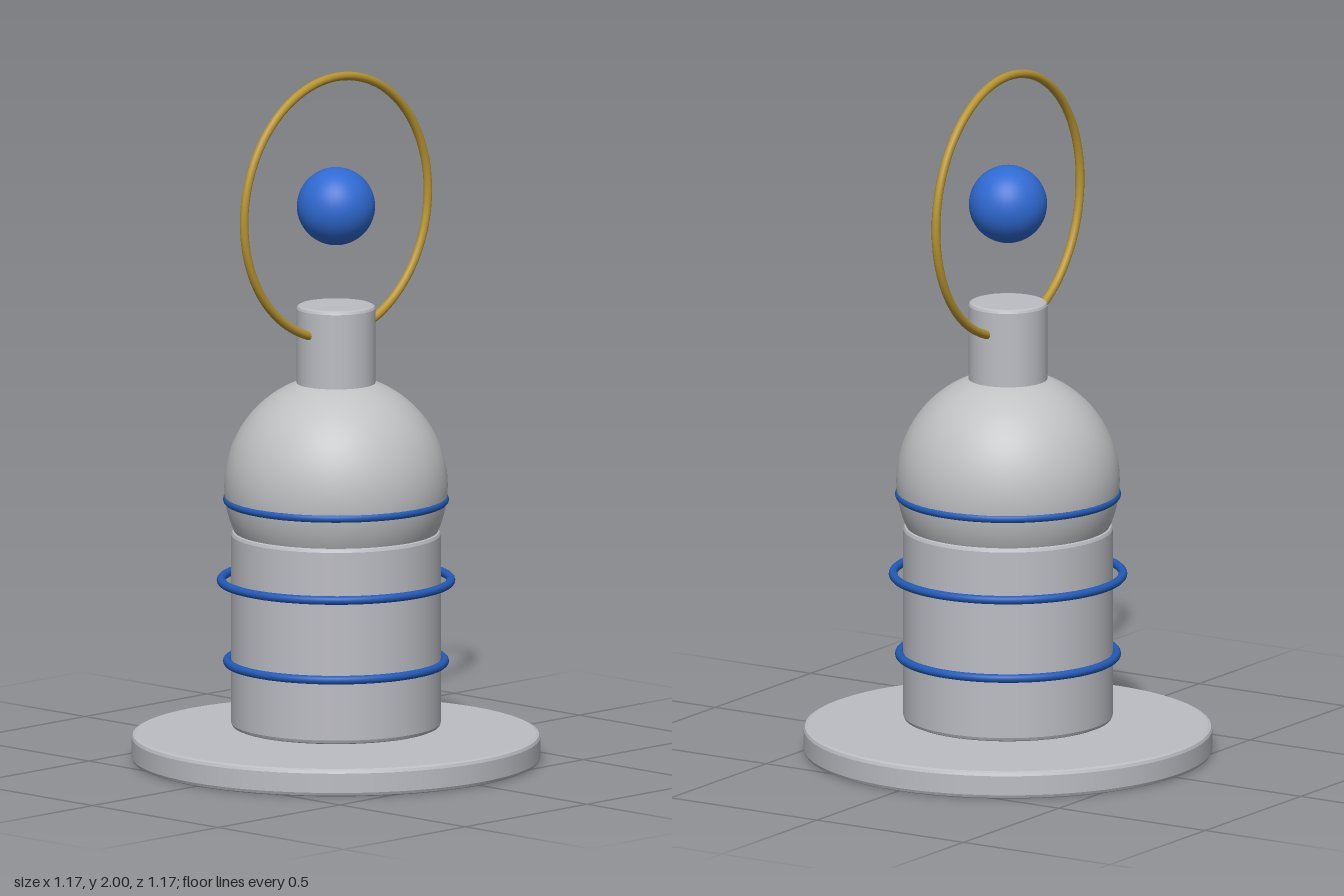
import * as THREE from 'three';

function material(name, color) {
  const m = new THREE.MeshStandardMaterial({ color });
  m.name = name;
  return m;
}

export function createModel() {
  const model = new THREE.Group();
  model.name = 'beacon';

  const steel = material('cool grey', 0xbcbdc3);
  const domeGrey = material('dome grey', 0xc0c1c3);
  const blue = material('bright blue', 0x2f6ad2);
  const ringBlue = material('deep blue', 0x235bb9);
  const gold = material('gold', 0xb8952f);

  function add(name, geometry, mat, y = 0) {
    const mesh = new THREE.Mesh(geometry, mat);
    mesh.name = name;
    mesh.position.y = y;
    model.add(mesh);
    return mesh;
  }

  // Upright cylinder with chamfered rims; doubled points keep the edges crisp
  function disc(radius, bottom, top, bevel) {
    const corners = [
      [0, bottom], [radius - bevel, bottom], [radius - bevel * 0.3, bottom + bevel * 0.3],
      [radius, bottom + bevel], [radius, top - bevel],
      [radius - bevel * 0.3, top - bevel * 0.3], [radius - bevel, top], [0, top],
    ];
    const points = corners.flatMap(([x, y], i) => {
      const p = new THREE.Vector2(x, y);
      return i === 0 || i === corners.length - 1 ? [p] : [p, p.clone()];
    });
    return new THREE.LatheGeometry(points, 64);
  }

  // Base plate, body floating just above it, and the neck
  add('basePlate', disc(0.585, 0, 0.08, 0.012), steel);
  add('body', disc(0.3, 0.1, 0.67, 0.012), steel);
  add('neck', disc(0.113, 1.0, 1.325, 0.01), steel);

  // Dome set into the top of the body
  add('dome', new THREE.SphereGeometry(0.32, 64, 40), domeGrey, 0.8);

  // Horizontal bands: height and radius
  for (const [y, r] of [[0.29, 0.311], [0.525, 0.329], [0.76, 0.311]]) {
    add('band', new THREE.TorusGeometry(r, 0.0125, 12, 72).rotateX(Math.PI / 2), ringBlue, y);
  }

  // Upright hoop with a ball floating at its centre
  add('hoop', new THREE.TorusGeometry(0.3775, 0.0125, 12, 80).rotateY(Math.PI / 2), gold, 1.61);
  add('ball', new THREE.SphereGeometry(0.112, 40, 28), blue, 1.612);

  return model;
}
